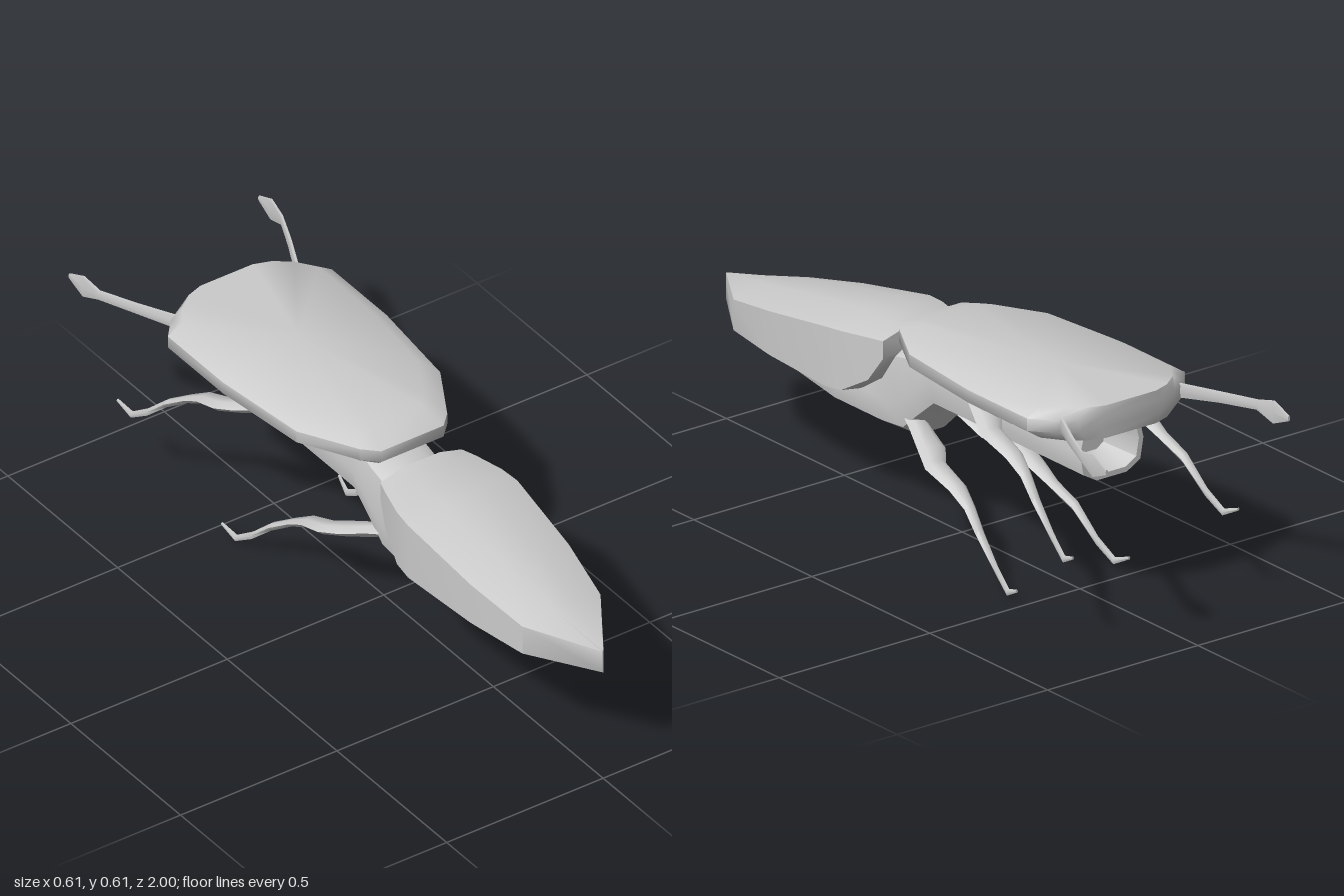
import * as THREE from 'three';
import { toCreasedNormals } from 'three/addons/utils/BufferGeometryUtils.js';

const material = new THREE.MeshStandardMaterial({ color: 0xcccccc, side: THREE.DoubleSide });

// Skin a series of rings (counter-clockwise seen from +z, ordered by rising z) and cap both ends
function loft(rings, crease = 0.7) {
  const pos = [];
  const tri = (a, b, c) => {
    const [p, q, r] = [a, b, c].map((v) => new THREE.Vector3(...v));
    if (q.clone().sub(p).cross(r.clone().sub(p)).length() > 1e-9) pos.push(...a, ...b, ...c);
  };
  const n = rings[0].length;
  for (let i = 0; i < rings.length - 1; i++) {
    for (let j = 0; j < n; j++) {
      const k = (j + 1) % n;
      tri(rings[i][j], rings[i][k], rings[i + 1][k]);
      tri(rings[i][j], rings[i + 1][k], rings[i + 1][j]);
    }
  }
  const centre = (ring) => [0, 1, 2].map((a) => ring.reduce((s, p) => s + p[a], 0) / n);
  const first = rings[0], last = rings[rings.length - 1];
  for (let j = 0; j < n; j++) {
    const k = (j + 1) % n;
    tri(centre(first), first[k], first[j]);
    tri(centre(last), last[j], last[k]);
  }
  const geometry = new THREE.BufferGeometry();
  geometry.setAttribute('position', new THREE.Float32BufferAttribute(pos, 3));
  return toCreasedNormals(geometry, crease);
}

// Symmetric ring from its +x half, listed bottom to top
const symmetric = (half, z) => [
  ...half.map(([x, y]) => [x, y, z]),
  ...half.slice().reverse().map(([x, y]) => [-x, y, z]),
];

// Six-sided oval ring
const oval = ([z, x, y, hx, hy]) => Array.from({ length: 6 }, (_, k) => {
  const a = (k * Math.PI) / 3;
  return [x + hx * Math.cos(a), y + (hy / 0.866) * Math.sin(a), z];
});

const mirrored = (rings) => rings.map((r) => r.map(([x, y, z]) => [-x, y, z]).reverse());

export function createModel() {
  const group = new THREE.Group();
  const add = (name, geometry) => {
    const mesh = new THREE.Mesh(geometry, material);
    mesh.name = name;
    group.add(mesh);
    return mesh;
  };

  // Pointed head: z, half width, keel y, lower corner y, upper corner y, ridge y, ridge half width
  const head = [
    [0.17, 0.13, 0.46, 0.47, 0.52, 0.54, 0.06],
    [0.215, 0.145, 0.385, 0.4, 0.52, 0.54, 0.063],
    [0.30, 0.168, 0.328, 0.35, 0.517, 0.54, 0.065],
    [0.36, 0.175, 0.32, 0.345, 0.513, 0.54, 0.065],
    [0.62, 0.157, 0.323, 0.345, 0.468, 0.497, 0.055],
    [0.81, 0.125, 0.33, 0.345, 0.432, 0.456, 0.035],
    [1.0, 0.002, 0.344, 0.346, 0.412, 0.416, 0.001],
  ].map(([z, w, keel, low, high, top, tw]) => symmetric(
    [[0, keel], [w * 0.6, (keel + low) / 2], [w, low], [w, high], [tw, top]], z));
  add('head', loft(head));

  // Jaw, neck and abdomen in one skin: z, half width, bottom y, shoulder y, top y, bottom half width
  const bodyRing = ([z, w, bottom, side, top, bw]) => symmetric(
    [[bw, bottom], [w * 0.9, bottom + (side - bottom) * 0.3], [w, side], [w * 0.85, top - (top - side) * 0.15], [w * 0.5, top]], z);
  const body = [
    // hollow at the abdomen's end
    [-0.53, 0.06, 0.4, 0.45, 0.49, 0.03],
    [-0.635, 0.09, 0.38, 0.45, 0.512, 0.045],
    [-0.635, 0.105, 0.365, 0.45, 0.528, 0.05],
    [0.0, 0.105, 0.365, 0.45, 0.533, 0.05],
    [0.07, 0.105, 0.305, 0.40, 0.508, 0.045],
    [0.13, 0.105, 0.248, 0.36, 0.495, 0.042],
    [0.22, 0.105, 0.246, 0.335, 0.48, 0.042],
    [0.42, 0.105, 0.246, 0.335, 0.37, 0.042],
    [0.70, 0.075, 0.28, 0.325, 0.345, 0.03],
    [0.78, 0.045, 0.303, 0.325, 0.338, 0.02],
    [0.80, 0.02, 0.315, 0.325, 0.335, 0.01],
  ].map(bodyRing);
  add('jawAndAbdomen', loft(body));

  // Wing shell: outlines stacked upwards, with bevelled rims
  const outline = [[0.1, 0.13], [0.14, 0.09], [0.23, -0.07], [0.262, -0.36], [0.262, -0.61], [0.215, -0.665], [0.16, -0.7], [0.1, -0.717]];
  const layer = (y, inset, front) => symmetric(
    outline.map(([x, z]) => [x * (1 - inset), -(z - front * Math.max(0, (z + 0.4) / 0.53))]), y);
  const shell = loft([
    layer(0.52, 0.17, 0.035), layer(0.55, 0, 0), layer(0.585, 0, 0), layer(0.612, 0.17, 0.08),
  ], 1.0);
  add('wingShell', shell.rotateX(-Math.PI / 2));

  // Legs, toe to hip: z, x, y, half width, half height
  const leg = [
    [-0.47, 0.187, 0.033, 0.004, 0.004],
    [-0.42, 0.177, 0.012, 0.007, 0.009],
    [-0.36, 0.167, 0.052, 0.007, 0.011],
    [-0.28, 0.159, 0.125, 0.014, 0.012],
    [-0.21, 0.139, 0.172, 0.018, 0.011],
    [-0.15, 0.132, 0.207, 0.028, 0.013],
    [-0.06, 0.135, 0.242, 0.035, 0.015],
    [-0.005, 0.102, 0.257, 0.043, 0.016],
    [0.08, 0.08, 0.295, 0.032, 0.018],
    [0.12, 0.07, 0.31, 0.028, 0.012],
  ].map(oval);
  // Antennae, tip to root
  const antenna = [
    [-1.0, 0.303, 0.568, 0.004, 0.007],
    [-0.94, 0.3, 0.568, 0.006, 0.032],
    [-0.88, 0.292, 0.572, 0.006, 0.014],
    [-0.78, 0.248, 0.572, 0.008, 0.015],
    [-0.64, 0.18, 0.57, 0.008, 0.021],
  ].map(oval);

  for (const side of ['left', 'right']) {
    const sided = (rings) => loft(side === 'left' ? rings : mirrored(rings), 1.0);
    const s = side === 'left' ? 1 : -1;
    add(side + 'FrontLeg', sided(leg));
    add(side + 'RearLeg', sided(leg)).position.set(s * 0.088, 0.228, -0.35);
    add(side + 'Antenna', sided(antenna));
  }
  return group;
}
